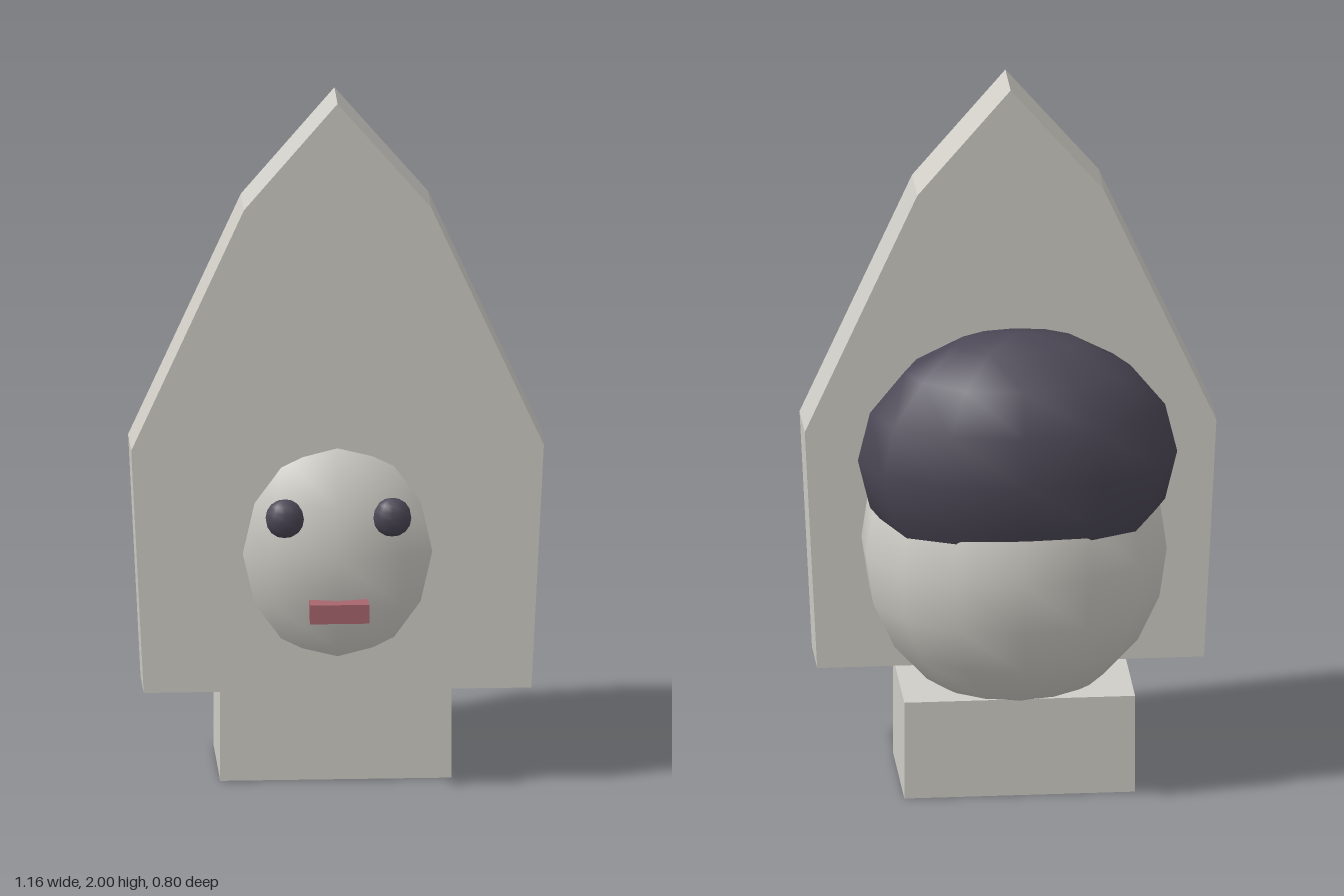
import * as THREE from 'three';

const mat = (name, color) => {
  const m = new THREE.MeshStandardMaterial({ color });
  m.name = name;
  return m;
};

export function createModel() {
  const group = new THREE.Group();
  const stone = mat('pale stone', 0xd0cec7);
  const dark = mat('dark violet grey', 0x4c4856);
  const rose = mat('dusty rose', 0xa8666e);

  const add = (name, geometry, material, x, y, z) => {
    const mesh = new THREE.Mesh(geometry, material);
    mesh.name = name;
    mesh.position.set(x, y, z);
    group.add(mesh);
    return mesh;
  };
  // Low-poly ellipsoid with smooth normals and a vertex column facing +z
  const ellipsoid = (rx, ry, rz, w, h) =>
    new THREE.SphereGeometry(1, w, h, Math.PI / 2).scale(rx, ry, rz);

  // Block the head rests on
  add('neckBlock', new THREE.BoxGeometry(0.65, 0.287, 0.375), stone, 0, 0.1435, -0.003);

  // Head and hair
  add('head', ellipsoid(0.434, 0.475, 0.375, 14, 10), stone, 0, 0.69, -0.006);
  add('hair', ellipsoid(0.45, 0.37, 0.28, 12, 8), dark, 0, 0.99, -0.118);

  // Pointed hood plate that the face pushes through
  const right = [[0.545, 0.287], [0.58, 0.995], [0.263, 1.693]];
  const left = right.map(([x, y]) => [-x, y]).reverse();
  const outline = [...right, [0, 2], ...left].map(([x, y]) => new THREE.Vector2(x, y));
  const plate = new THREE.ExtrudeGeometry(new THREE.Shape(outline), { depth: 0.17, bevelEnabled: false });
  add('hoodPlate', plate, stone, 0, 0, 0.108);

  // Eyes and mouth
  for (const [side, s] of [['left', 1], ['right', -1]]) {
    add(side + 'Eye', ellipsoid(0.056, 0.056, 0.037, 10, 8), dark, s * 0.151, 0.805, 0.329);
  }
  add('mouth', new THREE.BoxGeometry(0.166, 0.055, 0.09), rose, 0, 0.542, 0.352);

  return group;
}
